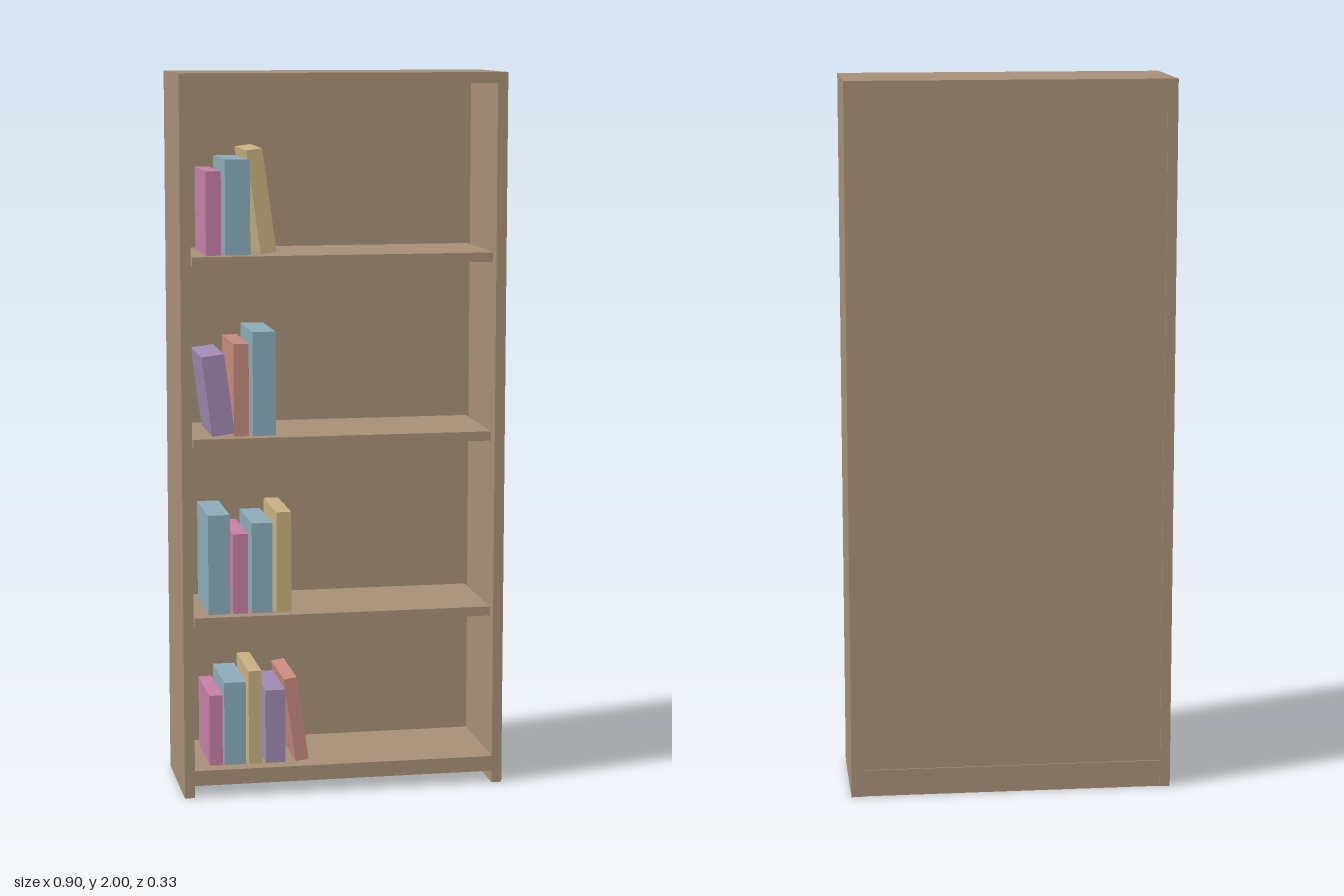
import * as THREE from 'three';

const mat = (name, color) => {
  const m = new THREE.MeshStandardMaterial({ color });
  m.name = name;
  return m;
};

export function createModel() {
  const root = new THREE.Group();
  root.name = 'bookcase';

  const wood = mat('wood', 0xa68f76);
  const pink = mat('pinkCover', 0xc57fa6);
  const blue = mat('blueCover', 0x8aabb8);
  const tan = mat('tanCover', 0xc7b080);
  const purple = mat('purpleCover', 0xa088b0);
  const salmon = mat('salmonCover', 0xc4897c);

  // Box given by its extents along each axis
  const box = (parent, name, material, [x0, x1], [y0, y1], [z0, z1]) => {
    const mesh = new THREE.Mesh(new THREE.BoxGeometry(x1 - x0, y1 - y0, z1 - z0), material);
    mesh.position.set((x0 + x1) / 2, (y0 + y1) / 2, (z0 + z1) / 2);
    mesh.name = name;
    parent.add(mesh);
    return mesh;
  };

  const W = 0.4525, IN = 0.424, D = 0.1665;

  // Case: sides, top, bottom board and slightly recessed back panel
  box(root, 'sideRight', wood, [-W, -IN], [0, 2], [-D, D]);
  box(root, 'sideLeft', wood, [IN, W], [0, 2], [-D, D]);
  box(root, 'topBoard', wood, [-IN, IN], [1.97, 2], [-D, D]);
  box(root, 'bottomBoard', wood, [-IN, IN], [0.034, 0.077], [-D, D]);
  box(root, 'backPanel', wood, [-IN, IN], [0, 1.97], [-D + 0.004, -D + 0.014]);

  // Loose shelves, set a little inside the case
  const shelfTops = [0.509, 1.008, 1.507];
  for (const y of shelfTops) {
    box(root, 'shelf', wood, [-0.419, 0.416], [y - 0.026, y], [-D + 0.014, D - 0.009]);
  }

  // Upright books: [material, x0, x1, top]; leaning: [material, cx, cy, width, height, tilt]
  const rows = [
    { base: 0.077,
      upright: [[pink, -0.376, -0.339, 0.278], [blue, -0.334, -0.273, 0.313],
        [tan, -0.265, -0.228, 0.343], [purple, -0.217, -0.161, 0.286]],
      leaning: [salmon, -0.13, 0.199, 0.037, 0.24, 0.14] },
    { base: shelfTops[0],
      upright: [[blue, -0.376, -0.315, 0.789], [pink, -0.307, -0.265, 0.734],
        [blue, -0.254, -0.196, 0.763], [tan, -0.185, -0.143, 0.792]] },
    { base: shelfTops[1],
      upright: [[salmon, -0.302, -0.26, 1.264], [blue, -0.249, -0.185, 1.296]],
      leaning: [purple, -0.345, 1.123, 0.063, 0.222, 0.13] },
    { base: shelfTops[2],
      upright: [[pink, -0.376, -0.334, 1.736], [blue, -0.323, -0.254, 1.767]],
      leaning: [tan, -0.2225, 1.653, 0.044, 0.285, 0.135] },
  ];
  const depth = [-0.107, 0.12];

  for (const { base, upright, leaning } of rows) {
    const row = new THREE.Group();
    row.name = 'bookRow';
    root.add(row);
    for (const [m, x0, x1, top] of upright) box(row, 'book', m, [x0, x1], [base, top], depth);
    if (leaning) {
      const [m, cx, cy, w, h, tilt] = leaning;
      const book = box(row, 'leaningBook', m,
        [cx - w / 2, cx + w / 2], [cy - h / 2, cy + h / 2], depth);
      book.rotation.z = tilt;
    }
  }
  return root;
}
